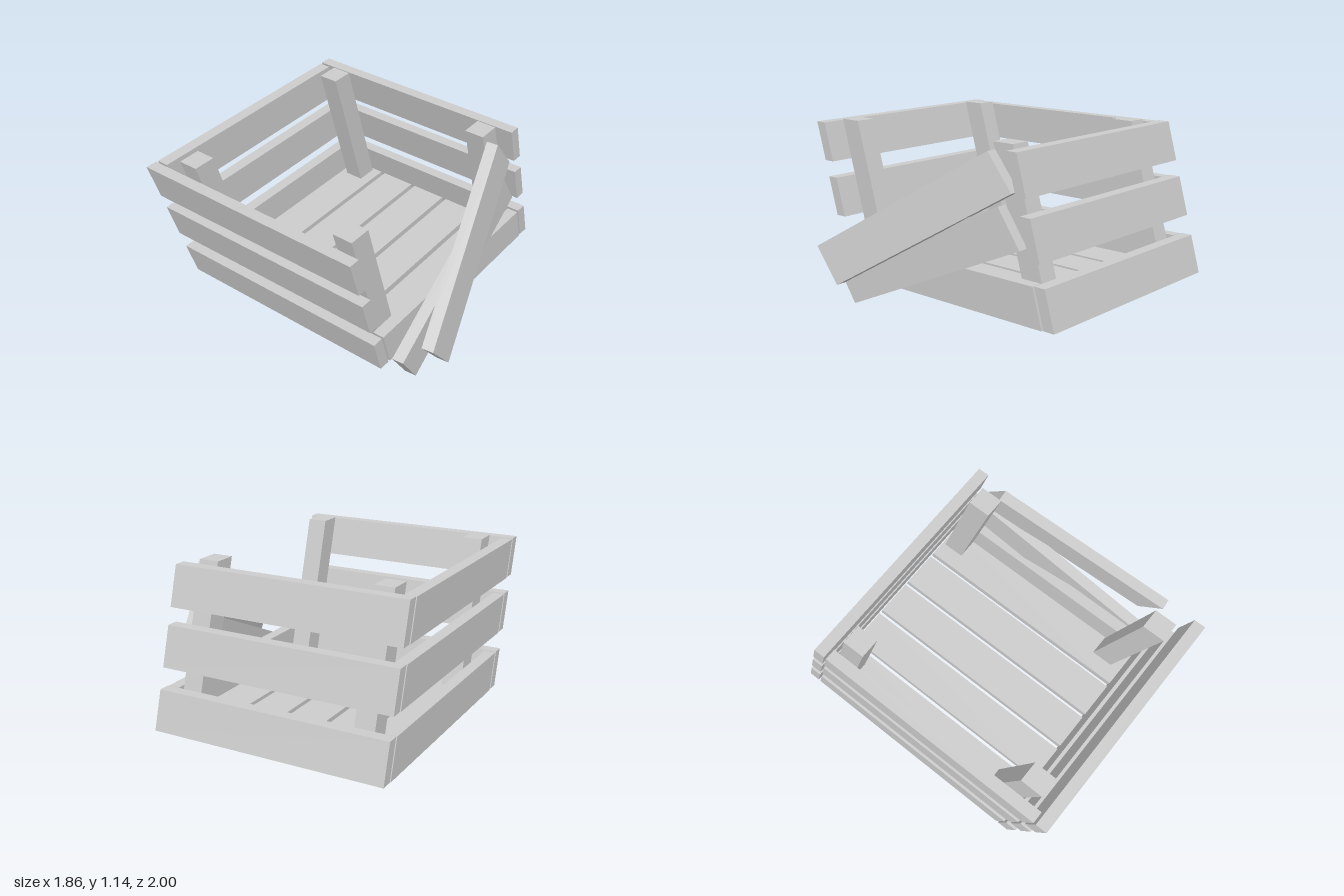
import * as THREE from 'three';

const LEAN = 0.2857; // the whole crate leans forward: z shift per unit of height

export function createModel() {
  const crate = new THREE.Group();
  crate.name = 'brokenCrate';
  const material = new THREE.MeshStandardMaterial({ color: 0xcccccc, flatShading: true });

  // Board spanned by three edge vectors (right-handed) from one corner
  function board(name, corner, u, v, w) {
    const geometry = new THREE.BoxGeometry(1, 1, 1).translate(0.5, 0.5, 0.5);
    const matrix = new THREE.Matrix4().makeBasis(
      new THREE.Vector3(...u), new THREE.Vector3(...v), new THREE.Vector3(...w));
    matrix.setPosition(...corner);
    geometry.applyMatrix4(matrix);
    geometry.computeVertexNormals();
    const mesh = new THREE.Mesh(geometry, material);
    mesh.name = name;
    crate.add(mesh);
  }

  // Leaning board; z0 and z1 are its limits extended down to y = 0
  function leaning(name, x0, x1, y0, y1, z0, z1) {
    const h = y1 - y0;
    board(name, [x0, y0, z0 + LEAN * y0], [x1 - x0, 0, 0], [0, h, LEAN * h], [0, 0, z1 - z0]);
  }

  // Three rows of wall slats; the right wall keeps only its lowest one
  [[0.14, 0.385], [0.515, 0.765], [0.87, 1.12]].forEach(([y0, y1], row) => {
    leaning('frontSlat', -0.93, 0.61, y0, y1, 0.605, 0.68);
    leaning('backSlat', -0.93, 0.61, y0, y1, -1.04, -0.965);
    leaning('sideSlat', -0.93, -0.855, y0 - 0.004, y1 - 0.004, -0.95, 0.59);
    if (row === 0) leaning('sideSlat', 0.535, 0.61, y0 - 0.004, y1 - 0.004, -0.95, 0.59);
  });

  // Floor slats
  for (let i = 0; i < 5; i++) {
    const x = -0.838 + i * 0.2775;
    leaning('floorSlat', x, x + 0.247, 0.125, 0.19, -0.955, 0.605);
  }

  // Corner posts
  for (const x of [-0.79, 0.38]) {
    leaning('frontPost', x, x + 0.13, 0.19, 1.14, 0.385, 0.532);
    leaning('backPost', x, x + 0.13, 0.19, 1.14, -0.935, -0.788);
  }

  // Two side slats that have come loose and hang off the right wall
  board('looseUpperSlat', [0.525, 0.88, -0.668], [0.075, 0, -0.008], [0, 0.22, 0.178], [0.325, -0.697, 1.145]);
  board('looseLowerSlat', [0.535, 0.565, -0.74], [0.075, 0, -0.006], [0.008, 0.232, 0.154], [0.125, -0.563, 1.275]);

  return crate;
}
